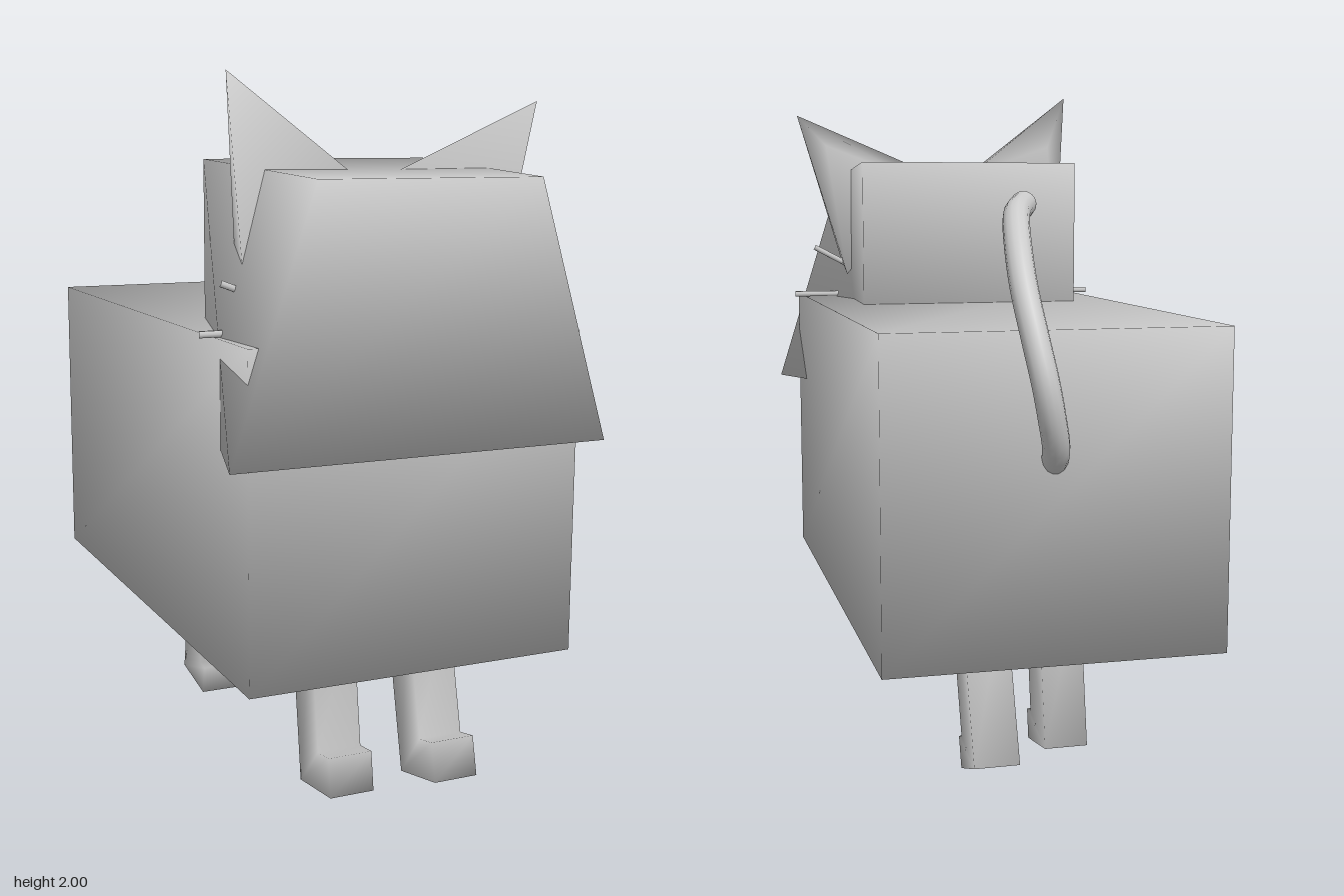
import * as THREE from 'three';
import { mergeVertices } from 'three/addons/utils/BufferGeometryUtils.js';
import { ConvexGeometry } from 'three/addons/geometries/ConvexGeometry.js';

const grey = new THREE.MeshStandardMaterial({ color: 0xcccccc });

// Weld the corners so that normals blend across the edges
function soften(geometry) {
  geometry.deleteAttribute('normal');
  geometry.deleteAttribute('uv');
  const welded = mergeVertices(geometry, 1e-4);
  welded.computeVertexNormals();
  return welded;
}

function add(parent, name, geometry) {
  const mesh = new THREE.Mesh(geometry, grey);
  mesh.name = name;
  parent.add(mesh);
  return mesh;
}

// Flared block: wide jaw in front, one cheek folded inwards and one outwards
function headGeometry() {
  const g = new THREE.BufferGeometry();
  g.setAttribute('position', new THREE.Float32BufferAttribute([
    -0.35, 1.05, 0.22, 0.35, 1.05, 0.22, -0.35, 1.77, 0.22, 0.35, 1.77, 0.22,
    -0.545, 1.02, 0.92, 0.545, 1.02, 0.92, -0.315, 1.73, 0.93, 0.32, 1.73, 0.93,
  ], 3));
  g.setIndex([
    7, 5, 1, 7, 1, 3, 2, 0, 4, 2, 4, 6, // cheeks
    6, 4, 7, 4, 5, 7, 3, 1, 2, 1, 0, 2, // face and back
    6, 7, 2, 7, 3, 2, 0, 1, 4, 1, 5, 4, // top and underside
  ]);
  g.computeVertexNormals();
  return g;
}

// L-shaped leg and foot; the heel is the origin of the tilted profile
function legGeometry({ x, y, z, tilt, foot, toe, shaft }) {
  const profile = new THREE.Shape([
    [0, 0], [foot, 0], [foot, toe], [shaft, toe], [shaft, 0.5], [0, 0.5],
  ].map(([u, v]) => new THREE.Vector2(u, v)));
  const g = new THREE.ExtrudeGeometry(profile, { depth: 0.13, bevelEnabled: false });
  g.translate(0, 0, -0.065);
  g.rotateZ(THREE.MathUtils.degToRad(tilt));
  g.rotateY(-Math.PI / 2);
  g.translate(x, y, z);
  return soften(g);
}

// Thin rod between two points
function rodGeometry(a, b, radius) {
  const path = new THREE.LineCurve3(new THREE.Vector3(...a), new THREE.Vector3(...b));
  return new THREE.TubeGeometry(path, 1, radius, 6);
}

export function createModel() {
  const cat = new THREE.Group();
  cat.name = 'cat';

  // Body
  const body = new THREE.BoxGeometry(0.96, 0.9, 1.69);
  body.translate(0, 0.87, 0.035);
  add(cat, 'body', soften(body));

  add(cat, 'head', headGeometry());

  // Ears: thin wedges, each with its own tilt
  const ears = {
    leftEar: [
      [0.51, 1.93, 0.59], [0.05, 1.745, 0.655], [0.12, 1.72, 0.565],
      [0.36, 1.46, 0.665], [0.35, 1.4, 0.57], [0.42, 1.83, 0.545],
    ],
    rightEar: [
      [-0.42, 2.0, 0.585], [-0.1, 1.745, 0.645], [-0.09, 1.74, 0.57],
      [-0.405, 1.48, 0.66], [-0.39, 1.46, 0.57], [-0.35, 1.83, 0.545],
    ],
  };
  for (const [name, points] of Object.entries(ears)) {
    add(cat, name, soften(new ConvexGeometry(points.map((p) => new THREE.Vector3(...p)))));
  }

  // Whiskers
  add(cat, 'leftLowerWhisker', rodGeometry([0.3, 1.33, 0.65], [0.52, 1.33, 0.65], 0.01));
  add(cat, 'rightLowerWhisker', rodGeometry([-0.3, 1.33, 0.65], [-0.525, 1.33, 0.65], 0.01));
  add(cat, 'leftUpperWhisker', rodGeometry([0.28, 1.4, 0.65], [0.45, 1.49, 0.65], 0.01));
  add(cat, 'rightUpperWhisker', rodGeometry([-0.28, 1.39, 0.65], [-0.465, 1.46, 0.65], 0.01));

  // Legs in mid-stride
  const legs = {
    leftFrontLeg: { x: 0.14, y: 0.04, z: 0.66, tilt: 13, foot: 0.205, toe: 0.11, shaft: 0.135 },
    rightFrontLeg: { x: -0.14, y: 0.03, z: 0.58, tilt: 8, foot: 0.205, toe: 0.11, shaft: 0.135 },
    leftHindLeg: { x: 0.14, y: 0.105, z: -0.69, tilt: -20, foot: 0.17, toe: 0.09, shaft: 0.135 },
    rightHindLeg: { x: -0.14, y: 0.037, z: -0.42, tilt: -10, foot: 0.19, toe: 0.09, shaft: 0.15 },
  };
  for (const [name, spec] of Object.entries(legs)) add(cat, name, legGeometry(spec));

  // Tail curling up and forward over the back
  const tailPath = new THREE.CatmullRomCurve3([
    [0.01, 0.95, -0.76], [0.02, 1.01, -0.835], [0.045, 1.1, -0.88], [0.065, 1.19, -0.89],
    [0.085, 1.31, -0.855], [0.095, 1.43, -0.785], [0.085, 1.54, -0.685],
    [0.055, 1.61, -0.56], [-0.005, 1.64, -0.41],
  ].map((p) => new THREE.Vector3(...p)));
  add(cat, 'tail', new THREE.TubeGeometry(tailPath, 40, 0.037, 14));
  const tip = add(cat, 'tailTip', new THREE.SphereGeometry(0.037, 14, 8));
  tip.scale.z = 0.3;
  tip.position.copy(tailPath.getPoint(1));
  tip.lookAt(tip.position.clone().add(tailPath.getTangent(1)));

  return cat;
}
